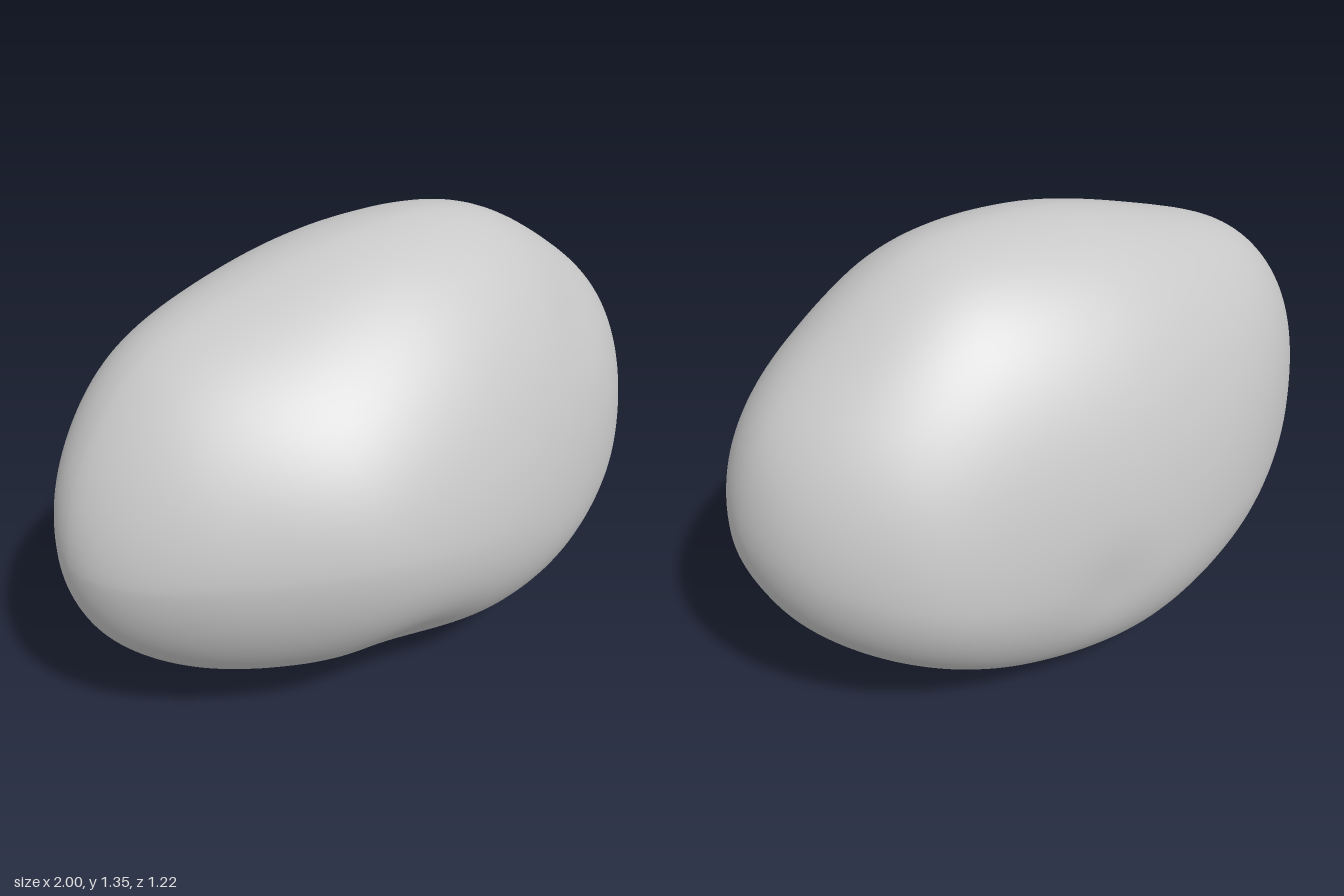
import * as THREE from 'three';

const stone = new THREE.MeshStandardMaterial({ color: 0xc8c8c8 });
stone.name = 'stone grey';

// A closed outline: nine stations along one side, then back along the other.
// Stations crowd towards the rounded ends; both sides share the tips.
function outline(ys, zs, ysBack, zsBack) {
  const station = (i, y, z) => new THREE.Vector3(-Math.cos((i / 8) * Math.PI), y, z);
  const there = ys.map((y, i) => station(i, y, zs[i]));
  const back = ysBack.map((y, i) => station(i + 1, y, zsBack[i])).reverse();
  return new THREE.CatmullRomCurve3([...there, ...back], true, 'catmullrom', 0.5);
}

// Crest and underside.
const upright = outline(
  [0.63, 0.89, 1.125, 1.255, 1.34, 1.322, 1.145, 0.935, 0.67],
  [0, -0.03, -0.06, -0.05, -0.01, 0.01, 0.01, 0, -0.01],
  [0.37, 0.17, 0.06, 0, 0.045, 0.21, 0.415],
  [-0.02, -0.06, -0.11, -0.14, -0.11, -0.07, -0.04]);

// Front and back flanks.
const level = outline(
  [0.63, 0.63, 0.64, 0.64, 0.58, 0.53, 0.57, 0.63, 0.67],
  [0, 0.20, 0.40, 0.57, 0.608, 0.545, 0.41, 0.21, -0.01],
  [0.61, 0.56, 0.51, 0.48, 0.50, 0.56, 0.63],
  [-0.205, -0.40, -0.55, -0.61, -0.56, -0.46, -0.25]);

// Fullness of each quarter of the section, with its change along x:
// above 1 is flatter, below 1 rounder.
const bend = [[1.11, -0.12], [0.95, -0.15], [0.96, 0.04], [1.0, 0.1]];

// Shallow hollows: centre, radius, depth.
const dents = [
  [new THREE.Vector3(-0.18, 0.24, 0.46), 0.18, 0.03],
  [new THREE.Vector3(0.20, 0.45, -0.58), 0.12, 0.015],
  [new THREE.Vector3(0.52, 1.00, 0.30), 0.14, 0.012],
];

function boulderGeometry(rings = 96, sides = 96) {
  const positions = [];
  const index = [];
  const add = (p) => positions.push(p.x, p.y, p.z);
  const p = new THREE.Vector3();

  add(upright.getPoint(0));
  for (let i = 1; i < rings; i++) {
    const t = i / rings / 2;
    const ends = [upright.getPoint(t), level.getPoint(t), upright.getPoint(1 - t), level.getPoint(1 - t)];
    for (let j = 0; j < sides; j++) {
      // Each quarter of the section is an arc between two neighbouring outline points.
      const q = (j / sides) * 4;
      const k = Math.floor(q);
      const a = ((q - k) * Math.PI) / 2;
      const from = ends[k];
      const to = ends[(k + 1) % 4];
      const power = bend[k][0] + bend[k][1] * from.x;
      const c = Math.cos(a) ** power;
      const s = Math.sin(a) ** power;
      if (k % 2 === 0) p.set(from.x, to.y + (from.y - to.y) * c, from.z + (to.z - from.z) * s);
      else p.set(from.x, from.y + (to.y - from.y) * s, to.z + (from.z - to.z) * c);
      // Press the hollows in towards the core.
      const inward = new THREE.Vector3(p.x * 0.5, 0.6, 0).sub(p).normalize();
      for (const [centre, radius, depth] of dents) {
        p.addScaledVector(inward, depth * Math.exp(-p.distanceToSquared(centre) / radius ** 2));
      }
      add(p);
    }
  }
  add(upright.getPoint(0.5));

  // Skin between rings, then fans at the two tips.
  const id = (i, j) => 1 + (i - 1) * sides + (j % sides);
  const last = 1 + (rings - 1) * sides;
  for (let j = 0; j < sides; j++) {
    index.push(0, id(1, j + 1), id(1, j));
    for (let i = 1; i < rings - 1; i++) {
      index.push(id(i, j), id(i, j + 1), id(i + 1, j));
      index.push(id(i + 1, j), id(i, j + 1), id(i + 1, j + 1));
    }
    index.push(last, id(rings - 1, j), id(rings - 1, j + 1));
  }

  const geometry = new THREE.BufferGeometry();
  geometry.setAttribute('position', new THREE.Float32BufferAttribute(positions, 3));
  geometry.setIndex(index);
  geometry.computeVertexNormals();
  return geometry;
}

export function createModel() {
  const group = new THREE.Group();
  group.name = 'rock';
  const boulder = new THREE.Mesh(boulderGeometry(), stone);
  boulder.name = 'boulder';
  group.add(boulder);
  return group;
}
